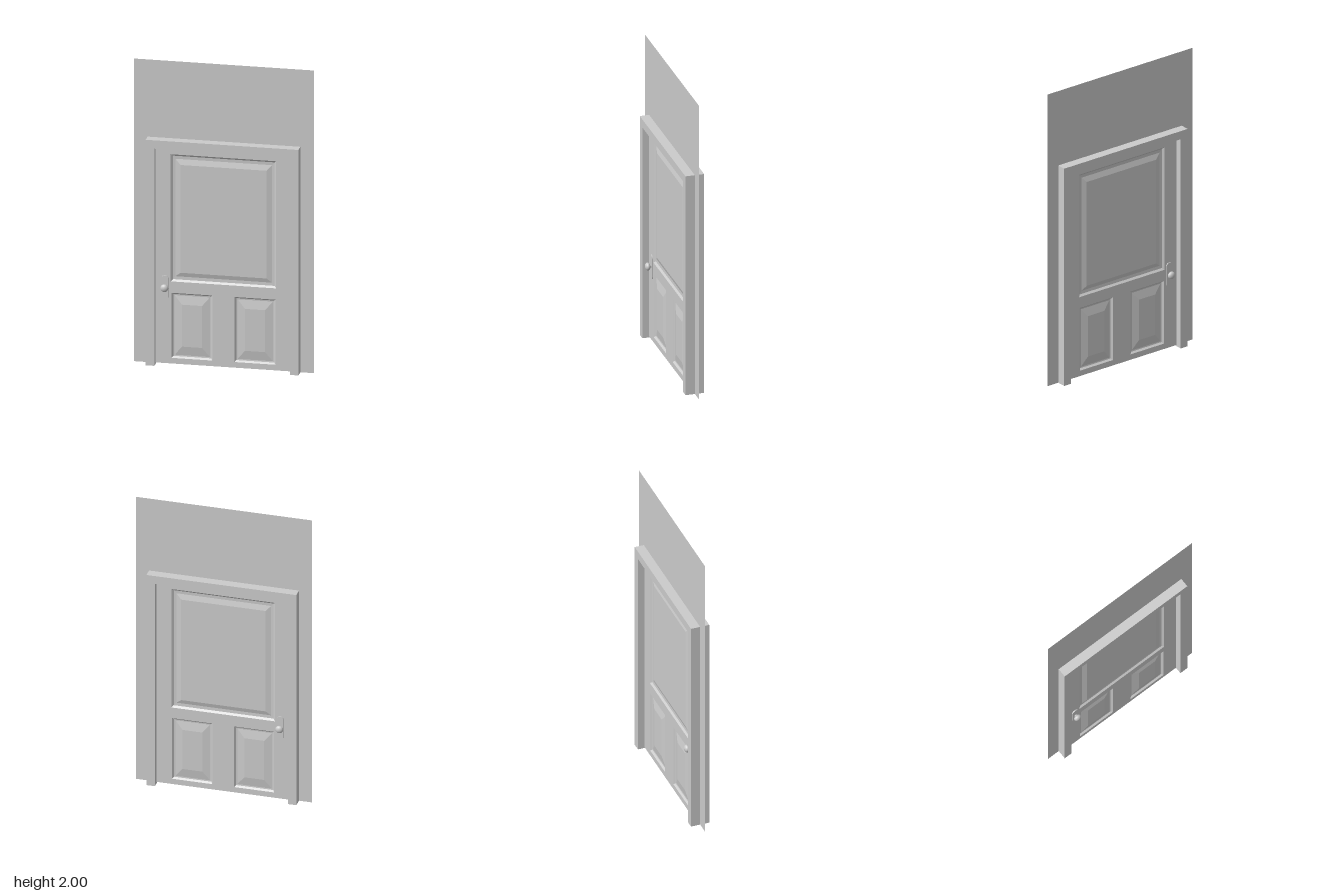
import * as THREE from 'three';

const material = new THREE.MeshStandardMaterial({ color: 0xcccccc });
const thinMaterial = new THREE.MeshStandardMaterial({ color: 0xcccccc, side: THREE.DoubleSide });

const DOOR_Z = 0.018; // half thickness of the door leaf
const W = 0.43, H = 1.435; // half width and height of the doorway

function mesh(name, geometry, mat = material) {
  const m = new THREE.Mesh(geometry, mat);
  m.name = name;
  return m;
}

function rectPoints(x0, x1, y0, y1) {
  return [[x0, y0], [x1, y0], [x1, y1], [x0, y1]].map(([x, y]) => new THREE.Vector2(x, y));
}

// Outline of an area with a doorway cut up from the floor
function archShape(halfWidth, height) {
  return new THREE.Shape([
    [-halfWidth, 0], [-W, 0], [-W, H], [W, H], [W, 0],
    [halfWidth, 0], [halfWidth, height], [-halfWidth, height],
  ].map(([x, y]) => new THREE.Vector2(x, y)));
}

function slab(shape, halfDepth) {
  return new THREE.ExtrudeGeometry(shape, { depth: halfDepth * 2, bevelEnabled: false, curveSegments: 12 })
    .translate(0, 0, -halfDepth);
}

// Moulded panel: nested rectangles, each step giving [side inset, bottom inset, top inset, z]
function panelGeometry([x0, x1, y0, y1], steps) {
  const rings = steps.map(([s, b, t, z]) =>
    rectPoints(x0 + s, x1 - s, y0 + b, y1 - t).map((p) => [p.x, p.y, z]));
  const pos = [];
  const quad = (a, b, c, d) => pos.push(...a, ...b, ...c, ...a, ...c, ...d);
  for (let r = 0; r < rings.length - 1; r++) {
    for (let i = 0; i < 4; i++) {
      const j = (i + 1) % 4;
      quad(rings[r][i], rings[r][j], rings[r + 1][j], rings[r + 1][i]);
    }
  }
  quad(...rings[rings.length - 1]);
  const g = new THREE.BufferGeometry();
  g.setAttribute('position', new THREE.Float32BufferAttribute(pos, 3));
  g.computeVertexNormals();
  return g;
}

// Escutcheon plate with rounded ends, and a turned knob
function createHandle() {
  const handle = new THREE.Group();
  handle.name = 'handle';
  const r = 0.023, half = 0.06;
  const shape = new THREE.Shape();
  shape.absarc(0, half, r, 0, Math.PI, false);
  shape.absarc(0, -half, r, Math.PI, Math.PI * 2, false);
  const plate = mesh('handlePlate', slab(shape, 0.004));
  plate.position.z = DOOR_Z + 0.002;

  const profile = [[0.01, 0], [0.009, 0.012]];
  for (let i = 1; i <= 10; i++) {
    const a = -1.15 + (i / 10) * (Math.PI / 2 + 1.15);
    profile.push([Math.max(0, 0.025 * Math.cos(a)), 0.027 + 0.017 * Math.sin(a)]);
  }
  const knob = mesh('knob', new THREE.LatheGeometry(profile.map((p) => new THREE.Vector2(...p)), 24)
    .rotateX(Math.PI / 2));
  knob.position.set(0, 0.005, DOOR_Z);
  handle.add(plate, knob);
  return handle;
}

export function createModel() {
  const model = new THREE.Group();
  model.name = 'doorInWall';

  // Thin wall and the deep door frame
  model.add(mesh('wall', new THREE.ShapeGeometry(archShape(0.57, 2)), thinMaterial));
  model.add(mesh('doorFrame', slab(archShape(0.485, 1.49), 0.061)));

  // Door leaf: stiles and rails with one large and two small openings
  const door = new THREE.Group();
  door.name = 'door';
  const large = [-0.335, 0.335, 0.55, 1.39];
  const small = [[-0.33, -0.07, 0.045, 0.475], [0.07, 0.33, 0.045, 0.475]];
  const leaf = new THREE.Shape(rectPoints(-W, W, 0.008, H));
  for (const o of [large, ...small]) leaf.holes.push(new THREE.Path(rectPoints(...o)));
  door.add(mesh('stilesAndRails', slab(leaf, DOOR_Z)));

  // Raised panels and handles on both faces
  const largeSteps = [
    [0, 0, 0, DOOR_Z], [0.012, 0.012, 0.012, 0.007],
    [0.028, 0.032, 0.032, 0.006], [0.062, 0.06, 0.068, 0.015],
  ];
  const smallSteps = [
    [0, 0, 0, DOOR_Z], [0.01, 0.01, 0.01, 0.007],
    [0.018, 0.018, 0.018, 0.006], [0.066, 0.078, 0.075, 0.016],
  ];
  for (const side of [1, -1]) {
    const face = new THREE.Group();
    face.name = side > 0 ? 'frontFace' : 'backFace';
    face.add(mesh('largePanel', panelGeometry(large, largeSteps)));
    for (const s of small) face.add(mesh('smallPanel', panelGeometry(s, smallSteps)));
    const handle = createHandle();
    handle.position.set(-0.37 * side, 0.507, 0);
    face.add(handle);
    if (side < 0) face.rotation.y = Math.PI;
    door.add(face);
  }
  model.add(door);
  return model;
}
